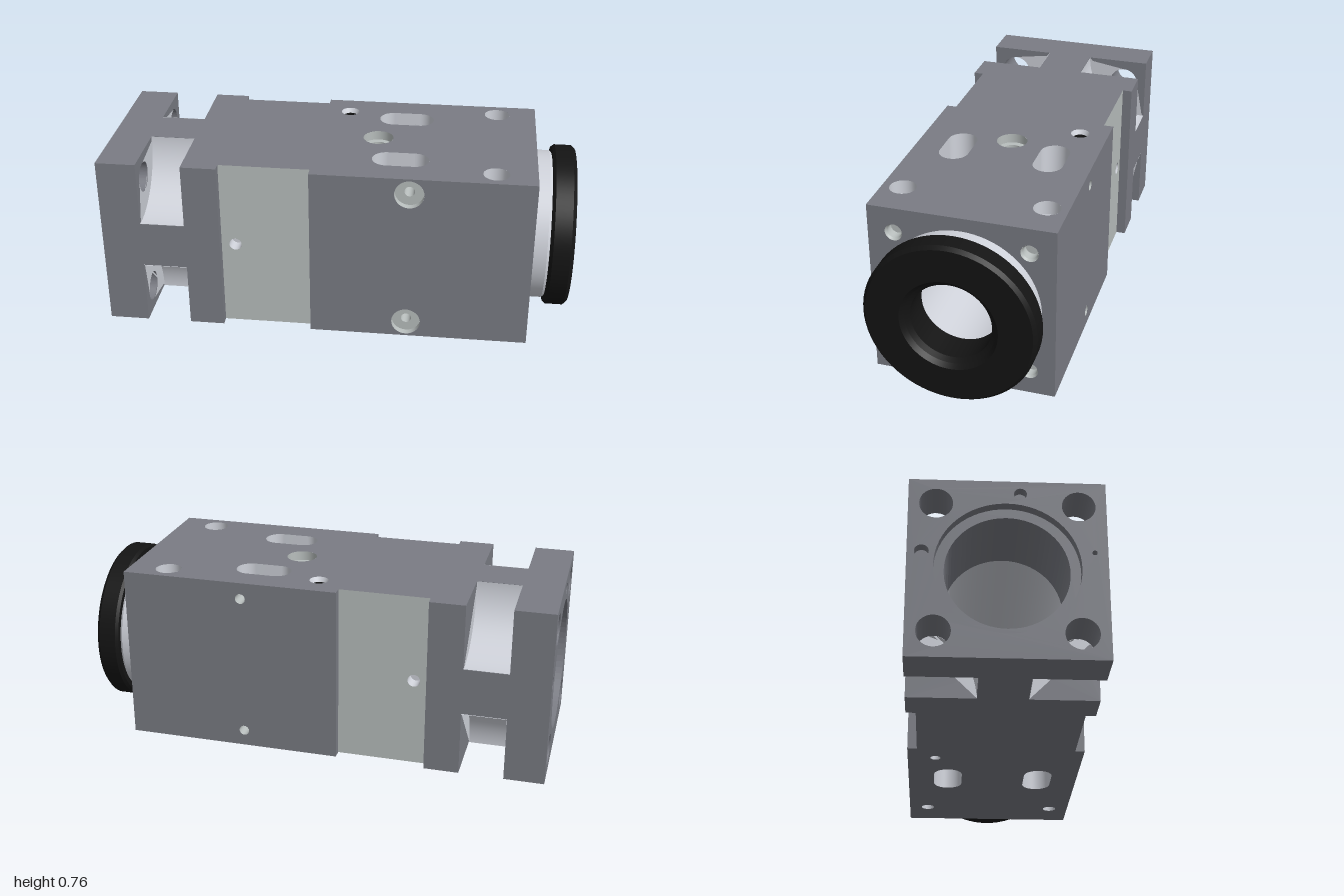
import * as THREE from 'three';

const mat = (color) => new THREE.MeshStandardMaterial({ color, side: THREE.DoubleSide });
const H = 0.381, R = 0.24, C = 0.274, CUT = 0.28; // half size, bore radius, bolt offset, pocket radius

// Rectangle shape with round holes [a, b, r]
function rect(a0, b0, a1, b1, holes = []) {
  const s = new THREE.Shape([[a0, b0], [a1, b0], [a1, b1], [a0, b1]].map((p) => new THREE.Vector2(...p)));
  return pierce(s, holes);
}
function pierce(s, holes) {
  for (const [a, b, r] of holes) s.holes.push(new THREE.Path().absarc(a, b, r, 0, Math.PI * 2, true));
  return s;
}
// Stadium outline of a slot running along x
function slotPath(z) {
  const r = 0.0625, p = new THREE.Path();
  p.absarc(0.3175, z, r, -Math.PI / 2, Math.PI / 2, false);
  p.absarc(0.2025, z, r, Math.PI / 2, Math.PI * 1.5, false);
  p.closePath();
  return p;
}

export function createModel() {
  const body = mat(0x7a7c84), bare = mat(0xb8bebd), silver = mat(0xcfd2da), black = mat(0x141414);
  const root = new THREE.Group(), g = new THREE.Group();
  g.position.y = 0.382;
  root.add(g);
  const add = (name, geo, m, parent = g) => {
    const mesh = new THREE.Mesh(geo, m);
    mesh.name = name;
    parent.add(mesh);
    return mesh;
  };
  const curve = { curveSegments: 32 };
  // Slab with a (z, y) cross-section between two x positions
  const slab = (name, shape, x0, x1) =>
    add(name, new THREE.ExtrudeGeometry(shape, { depth: x1 - x0, bevelEnabled: false, ...curve })
      .rotateY(-Math.PI / 2).translate(x1, 0, 0), body);
  // Flat faces: across x (z, y), across y (x, z), across z (x, y)
  const faceX = (name, s, x, m = body, parent = g) =>
    add(name, new THREE.ShapeGeometry(s, 32).rotateY(-Math.PI / 2).translate(x, 0, 0), m, parent);
  const faceY = (name, s, y) => add(name, new THREE.ShapeGeometry(s, 32).rotateX(Math.PI / 2).translate(0, y, 0), body);
  const faceZ = (name, s, z, m = body) => add(name, new THREE.ShapeGeometry(s, 32).translate(0, 0, z), m);
  // Hole lining: profile of [radius, depth] going inward along dir
  const hole = (name, pos, dir, profile, m = silver) => {
    for (let i = 1; i < profile.length; i++) {
      const pts = [profile[i - 1], profile[i]].map((p) => new THREE.Vector2(...p));
      const h = add(name, new THREE.LatheGeometry(pts, 28), m);
      h.position.set(...pos);
      h.quaternion.setFromUnitVectors(new THREE.Vector3(0, 1, 0), new THREE.Vector3(...dir));
    }
  };
  const corners = [[1, 1], [1, -1], [-1, 1], [-1, -1]];
  const bolts = (r) => corners.map(([a, b]) => [a * C, b * C, r]);

  // End flange with stepped bore, bolt holes and small pin holes
  slab('flangeFace', rect(-H, -H, H, H, [[0, 0, 0.28], ...bolts(0.065), [0.05, 0.325, 0.025], [-0.325, 0.06, 0.028], [0.33, 0.07, 0.01]]), -1, -0.96);
  slab('flange', rect(-H, -H, H, H, [[0, 0, R], ...bolts(0.065)]), -0.96, -0.83);

  // Waist with four concave corner pockets
  const waist = new THREE.Shape();
  waist.absarc(H, H, CUT, Math.PI * 1.5, Math.PI, true);
  waist.absarc(-H, H, CUT, 0, -Math.PI / 2, true);
  waist.absarc(-H, -H, CUT, Math.PI / 2, 0, true);
  waist.absarc(H, -H, CUT, Math.PI, Math.PI / 2, true);
  waist.closePath();
  slab('waist', pierce(waist, [[0, 0, R]]), -0.83, -0.64);
  const pocketWall = (holes) => {
    const s = new THREE.Shape();
    s.moveTo(H, H);
    s.absarc(H, H, CUT, Math.PI, Math.PI * 1.5, false);
    s.closePath();
    return pierce(s, holes);
  };
  for (const [a, b] of corners) {
    const p = new THREE.Group();
    p.name = 'cornerPocket';
    p.scale.set(1, a, b);
    g.add(p);
    const arc = new THREE.CylinderGeometry(CUT - 0.002, CUT - 0.002, 0.19, 24, 1, true, Math.PI, Math.PI / 2);
    add('pocketCurve', arc.rotateZ(Math.PI / 2).translate(-0.735, H, H), silver, p);
    faceX('pocketWall', pocketWall([[C, C, 0.065]]), -0.828, silver, p);
    faceX('pocketWall', pocketWall([]), -0.642, silver, p);
  }

  // Main housing: top and bottom faces with side recesses, holes and slots
  const A = -0.49, B = -0.105, D = 0.34;
  const outline = (holes) => {
    const s = new THREE.Shape([[-0.64, -H], [A, -H], [A, -D], [B, -D], [B, -H], [0.83, -H],
      [0.83, H], [B, H], [B, D], [A, D], [A, H], [-0.64, H]].map((p) => new THREE.Vector2(...p)));
    for (const z of [-0.203, 0.203]) s.holes.push(slotPath(z));
    return pierce(s, holes);
  };
  faceY('housingTop', outline([[0.66, 0.295, 0.055], [0.66, -0.295, 0.055], [0, -0.26, 0.04], [0.15, 0, 0.065]]), H);
  faceY('housingBottom', outline([[0.66, 0.295, 0.03], [0.66, -0.295, 0.03], [0, -0.26, 0.022]]), -H);
  for (const z of [0.295, -0.295]) {
    hole('topScrewHole', [0.66, H, z], [0, -1, 0], [[0.055, 0], [0.055, 0.06], [0.04, 0.06]]);
    hole('topScrew', [0.66, H, z], [0, -1, 0], [[0.04, 0.06], [0.04, 0.12], [0, 0.12]], black);
    hole('bottomHole', [0.66, -H, z], [0, 1, 0], [[0.03, 0], [0.03, 0.1], [0, 0.1]]);
  }
  hole('topPinHole', [0, H, -0.26], [0, -1, 0], [[0.04, 0], [0.03, 0.02]]);
  hole('topPin', [0, H, -0.26], [0, -1, 0], [[0.03, 0.02], [0.03, 0.1], [0, 0.1]], black);
  hole('bottomPinHole', [0, -H, -0.26], [0, 1, 0], [[0.022, 0], [0.022, 0.1], [0, 0.1]]);
  hole('topCentreHole', [0.15, H, 0], [0, -1, 0], [[0.065, 0], [0.065, 0.04], [0.04, 0.04], [0.04, 0.08], [0, 0.08]], bare);

  // Front and back faces with recessed bands
  for (const s of [1, -1]) {
    const r = s > 0 ? 0.062 : 0.022;
    faceZ('sideStrip', rect(-0.64, -H, A, H), s * H);
    faceZ('sideRecess', rect(A, -H, B, H, [[-0.43, 0.005, 0.027]]), s * D, bare);
    faceZ('sideFace', rect(B, -H, 0.83, H, [[0.31, 0.31, r], [0.31, -0.31, r]]), s * H);
    for (const x of [A, B]) faceX('recessStep', rect(s > 0 ? D : -H, -H, s > 0 ? H : -D, H), x);
    hole('recessHole', [-0.43, 0.005, s * D], [0, 0, -s], [[0.027, 0], [0.027, 0.06], [0, 0.06]]);
    // Cross holes break off where they pass through the slots
    for (const y of [0.31, -0.31]) {
      hole('crossHole', [0.31, y, s * H], [0, 0, -s], s > 0
        ? [[0.062, 0], [0.062, 0.03], [0.022, 0.03], [0.022, 0.116]] : [[0.022, 0], [0.022, 0.116]], bare);
      hole('crossHole', [0.31, y, s * 0.14], [0, 0, -s], [[0.022, 0], [0.022, 0.14]], bare);
    }
  }

  // Housing ends
  faceX('housingInnerEnd', rect(-H, -H, H, H, [[0, 0, R]]), -0.64);
  faceX('housingOuterEnd', rect(-H, -H, H, H, [[0, 0, R], ...bolts(0.036)]), 0.83);
  for (const [a, b] of corners)
    hole('endHole', [0.83, a * C, b * C], [-1, 0, 0], [[0.036, 0], [0.03, 0.01], [0.03, 0.05], [0, 0.05]], bare);

  // Slot walls running down to the bore
  for (const z of [-0.203, 0.203]) for (const s of [1, -1]) {
    const pts = slotPath(z).getPoints(14), n = pts.length - 1;
    const geo = new THREE.PlaneGeometry(1, 1, n, 1), pos = geo.attributes.position;
    for (let i = 0; i < pos.count; i++) {
      const p = pts[i % (n + 1)];
      pos.setXYZ(i, p.x, s * (i <= n ? H : Math.sqrt(Math.max(0, R * R - p.y * p.y))), p.y);
    }
    geo.computeVertexNormals();
    add('slotWall', geo, silver);
  }

  // Main bore, open at the sides where the slots cross it
  const tube = (x0, x1, start = 0, len = Math.PI * 2) =>
    add('mainBore', new THREE.CylinderGeometry(R, R, x1 - x0, 64, 1, true, start, len)
      .rotateZ(Math.PI / 2).translate((x0 + x1) / 2, 0, 0), silver);
  tube(-0.64, 0.14);
  tube(0.38, 0.84);
  const half = Math.asin(0.14 / R);
  for (const mid of [Math.PI / 2, -Math.PI / 2]) tube(0.14, 0.38, mid - half, half * 2);

  // Collar and black end ring, turned about x with crisp profile corners
  const turned = (name, profile, m) => {
    for (let i = 1; i < profile.length; i++) {
      const pts = [profile[i - 1], profile[i]].map((p) => new THREE.Vector2(...p));
      add(name, new THREE.LatheGeometry(pts, 72).rotateZ(-Math.PI / 2), m);
    }
  };
  turned('collar', [[0.325, 0.83], [0.325, 0.89], [0.315, 0.905]], silver);
  turned('endRing', [[0.24, 0.84], [0.166, 0.84], [0.166, 0.965], [0.185, 0.98], [0.2, 1], [0.338, 1],
    [0.352, 0.985], [0.352, 0.912], [0.342, 0.9], [0.24, 0.9]], black);
  return root;
}
